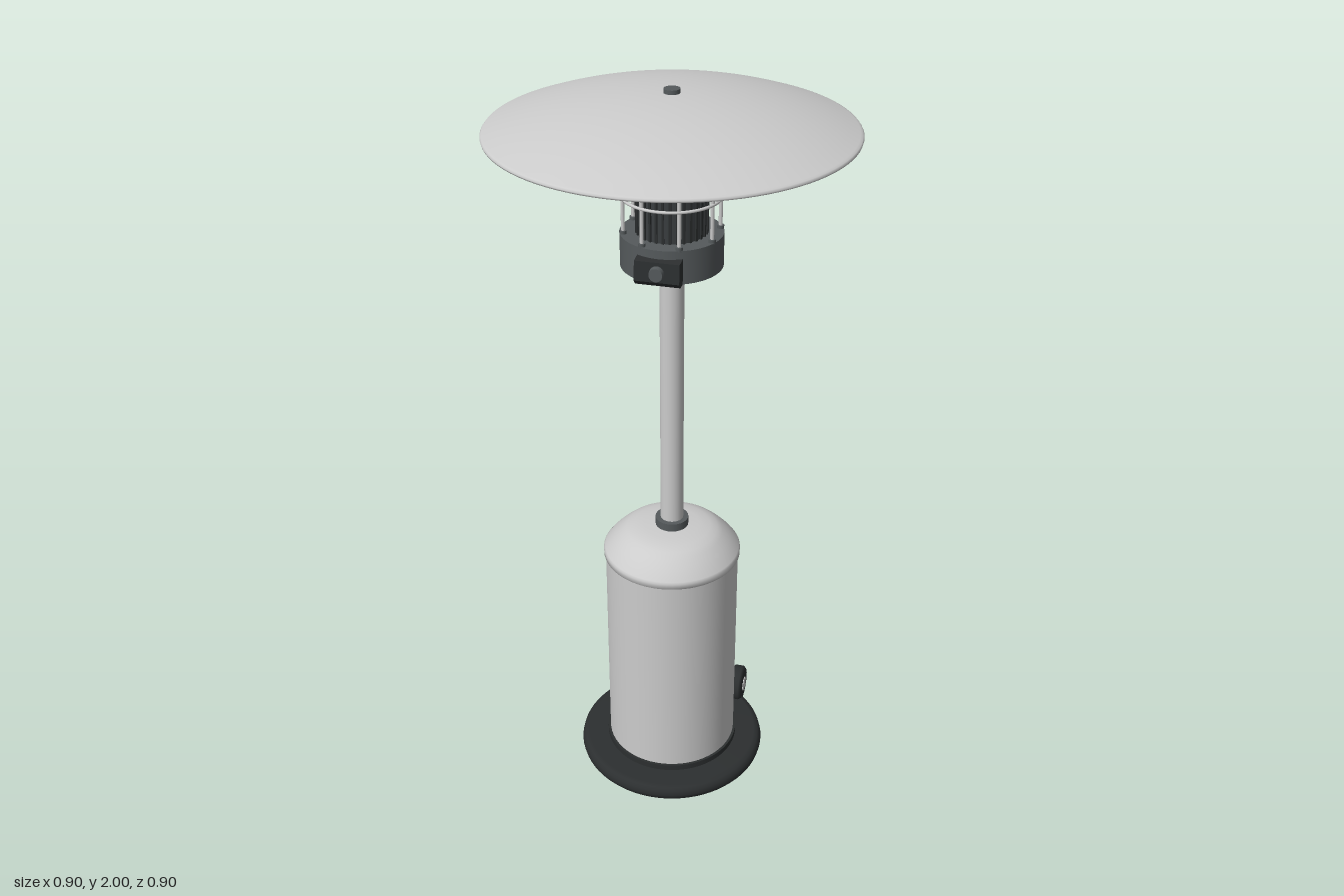
import * as THREE from 'three';

const mat = (color, side = THREE.FrontSide) => new THREE.MeshStandardMaterial({ color, side });
const steel = mat(0xcccccc);
const steelOpen = mat(0xcccccc, THREE.DoubleSide);
const dark = mat(0x555a5c);
const mesh3 = mat(0x3a3e40);
const black = mat(0x2c2f30);

export function createModel() {
  const model = new THREE.Group();

  const add = (name, geo, material, x = 0, y = 0, z = 0, parent = model) => {
    const m = new THREE.Mesh(geo, material);
    m.name = name;
    m.position.set(x, y, z);
    parent.add(m);
    return m;
  };
  // Upright cylinder between two heights
  const drum = (name, r, y0, y1, material, parent = model, x = 0, z = 0) =>
    add(name, new THREE.CylinderGeometry(r, r, y1 - y0, r > 0.05 ? 64 : 24), material, x, (y0 + y1) / 2, z, parent);
  const lathe = (name, pts, material, seg = 72) =>
    add(name, new THREE.LatheGeometry(pts.map(p => new THREE.Vector2(...p)), seg), material);
  // Thin round bar between two points
  const bar = (name, a, b, r, material, parent) => {
    const path = new THREE.LineCurve3(new THREE.Vector3(...a), new THREE.Vector3(...b));
    return add(name, new THREE.TubeGeometry(path, 1, r, 8), material, 0, 0, 0, parent);
  };

  // Weighted base with rounded edge
  lathe('base', [[0, 0], [0.245, 0], [0.257, 0.004], [0.264, 0.013], [0.267, 0.025], [0.264, 0.037],
    [0.257, 0.046], [0.245, 0.05], [0, 0.053]], black);
  drum('baseSkirt', 0.19, 0.045, 0.068, black);

  // Gas bottle housing and its domed shoulder
  drum('housing', 0.183, 0.06, 0.71, steel);
  lathe('shoulderLip', [[0.18, 0.7], [0.188, 0.7], [0.188, 0.715], [0.184, 0.72]], steelOpen);
  lathe('shoulder', [[0.188, 0.714], [0.175, 0.732], [0.158, 0.75], [0.14, 0.766], [0.125, 0.776],
    [0.105, 0.783], [0.075, 0.788], [0.03, 0.79]], steelOpen);

  // Pole and collars
  drum('poleCollar', 0.045, 0.785, 0.812, dark);
  drum('pole', 0.031, 0.79, 1.56, steel);
  drum('burnerCollar', 0.043, 1.533, 1.565, dark);

  // Rear door: curved seams, hinges and handle
  const door = new THREE.Group();
  door.name = 'door';
  model.add(door);
  const half = 0.56;
  for (const s of [-1, 1]) {
    const seam = add('doorSeam', new THREE.BoxGeometry(0.004, 0.5, 0.004), black,
      s * 0.183 * Math.sin(half), 0.37, -0.183 * Math.cos(half), door);
    seam.rotation.y = -s * half;
  }
  for (const y of [0.12, 0.62]) {
    const arc = add('doorSeam', new THREE.CylinderGeometry(0.1838, 0.1838, 0.004, 24, 1, true, Math.PI - half, 2 * half),
      dark, 0, y, 0, door);
    arc.material = dark;
  }
  for (const y of [0.2, 0.58])
    drum('hinge', 0.009, y - 0.02, y + 0.02, black, door, 0.187 * Math.sin(half), -0.187 * Math.cos(half));
  add('doorHandle', new THREE.BoxGeometry(0.044, 0.08, 0.016), black, 0, 0.46, -0.185, door);

  // Transport wheels behind the base
  for (const s of [-1, 1]) {
    const wheel = new THREE.Group();
    wheel.name = 'wheel';
    wheel.position.set(s * 0.155, 0.077, -0.212);
    wheel.rotation.z = -s * Math.PI / 2;
    model.add(wheel);
    const tyre = [[0.02, -0.02], [0.046, -0.02], [0.054, -0.012], [0.054, 0.012], [0.046, 0.02], [0.02, 0.02]];
    add('tyre', new THREE.LatheGeometry(tyre.map(p => new THREE.Vector2(...p)), 32), black, 0, 0, 0, wheel);
    add('hub', new THREE.CylinderGeometry(0.022, 0.022, 0.044, 24), steel, 0, 0, 0, wheel);
    add('wheelBracket', new THREE.BoxGeometry(0.012, 0.05, 0.07), black, s * 0.125, 0.067, -0.195);
  }

  // Burner can
  drum('burnerCan', 0.128, 1.562, 1.648, dark);

  // Control box with tapered underside and knob
  const side = new THREE.Shape([[0.11, 1.562], [0.138, 1.562], [0.15, 1.575], [0.146, 1.625], [0.11, 1.628]]
    .map(p => new THREE.Vector2(...p)));
  const boxGeo = new THREE.ExtrudeGeometry(side, { depth: 0.112, bevelEnabled: false });
  boxGeo.rotateY(-Math.PI / 2).translate(0.056, 0, 0);
  add('controlBox', boxGeo, black);
  const knob = add('controlKnob', new THREE.CylinderGeometry(0.017, 0.019, 0.016, 24), dark, 0, 1.598, 0.152);
  knob.rotation.x = Math.PI / 2;

  // Emitter screen with vertical ribs
  drum('emitterScreen', 0.086, 1.645, 1.855, mesh3);
  for (let i = 0; i < 32; i++) {
    const a = i * Math.PI / 16;
    const rib = add('emitterRib', new THREE.BoxGeometry(0.006, 0.205, 0.006), black,
      0.087 * Math.sin(a), 1.75, 0.087 * Math.cos(a));
    rib.rotation.y = a;
  }

  // Guard cage: rods, feet and hoops
  for (let i = 0; i < 8; i++) {
    const a = (i + 0.5) * Math.PI / 4;
    const x = 0.12 * Math.sin(a), z = 0.12 * Math.cos(a);
    bar('guardRod', [x, 1.64, z], [x, 1.86, z], 0.005, steel);
    drum('guardRodFoot', 0.009, 1.645, 1.656, dark, model, x, z);
  }
  const hoop = add('guardHoop', new THREE.TorusGeometry(0.123, 0.004, 8, 64), steel, 0, 1.743, 0);
  hoop.rotation.x = Math.PI / 2;
  drum('burnerTopPlate', 0.133, 1.852, 1.874, steel);
  drum('burnerTopStep', 0.118, 1.872, 1.879, steel);

  // Reflector struts
  for (let i = 0; i < 4; i++) {
    const a = (i + 0.35) * Math.PI / 2;
    const s = Math.sin(a), c = Math.cos(a);
    bar('reflectorStrut', [0.075 * s, 1.872, 0.075 * c], [0.115 * s, 1.977, 0.115 * c], 0.004, dark);
  }

  // Shallow domed reflector with a rolled rim
  const R = 1.21, dome = [];
  for (let i = 0; i <= 16; i++) {
    const r = 0.44 * i / 16;
    dome.push([r, 1.99 - R + Math.sqrt(R * R - r * r)]);
  }
  dome.push([0.446, 1.905], [0.449, 1.901], [0.448, 1.897], [0.443, 1.896], [0.437, 1.9]);
  for (let i = 15; i >= 0; i--) {
    const r = 0.437 * i / 16;
    dome.push([r, 1.985 - R + Math.sqrt(R * R - r * r)]);
  }
  lathe('reflector', dome.reverse(), steelOpen, 96);
  drum('reflectorKnob', 0.02, 1.982, 2, dark);

  return model;
}
